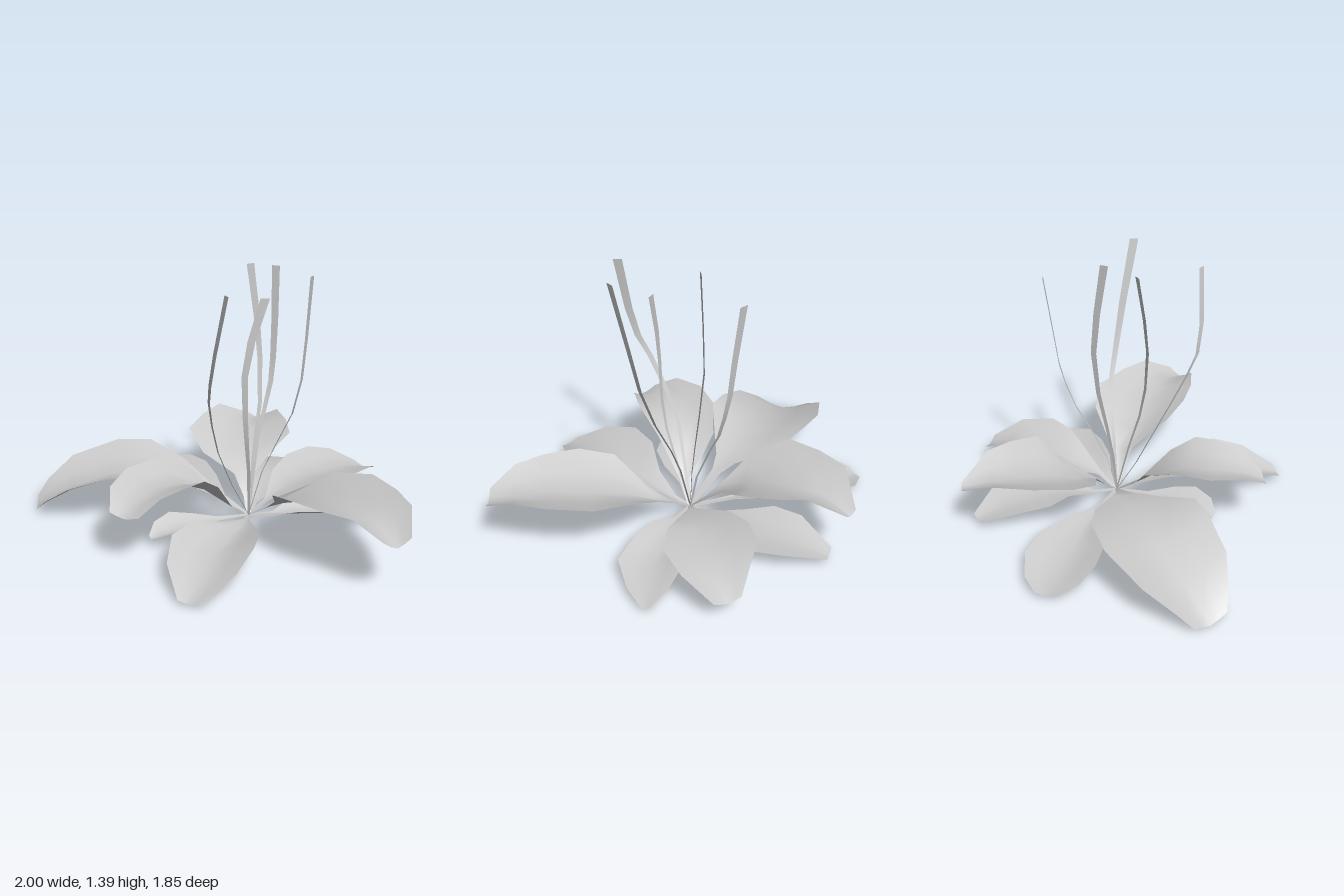
import * as THREE from 'three';

const material = new THREE.MeshStandardMaterial({ color: 0xcccccc, side: THREE.DoubleSide });

// Skin a sheet through rows of points, each row having the same number of columns
function sheet(name, rows) {
  const cols = rows[0].length;
  const index = [];
  for (let r = 0; r < rows.length - 1; r++) {
    for (let c = 0; c < cols - 1; c++) {
      const a = r * cols + c, b = a + cols;
      index.push(a, b, a + 1, b, b + 1, a + 1);
    }
  }
  const geometry = new THREE.BufferGeometry().setFromPoints(rows.flat());
  geometry.setIndex(index);
  geometry.computeVertexNormals();
  const mesh = new THREE.Mesh(geometry, material);
  mesh.name = name;
  return mesh;
}

// Channelled leaf: stations along the midrib are [x, y, z, halfWidth, edgeRise]
function leaf(name, stations) {
  const all = [[0.2, 0.03, -0.02, 0.012, 0], ...stations];
  const rows = all.map(([x, y, z, w, rise], i) => {
    const p = all[Math.max(i - 1, 0)], n = all[Math.min(i + 1, all.length - 1)];
    const side = new THREE.Vector3(n[2] - p[2], 0, p[0] - n[0]).normalize();
    return [-1, -0.5, 0, 0.5, 1].map((t) =>
      new THREE.Vector3(x, y + rise * Math.abs(t) ** 1.4, z).addScaledVector(side, t * w));
  });
  return sheet(name, rows);
}

// Flat stalk: path points are [x, y, z], the ribbon widens upward along a fixed direction
function stalk(name, [dx, dz], path) {
  const side = new THREE.Vector3(dx, 0, dz).normalize();
  const all = [[0.2, 0.03, -0.02], ...path];
  const rows = all.map((p, i) => {
    const w = 0.007 + 0.016 * (i / (all.length - 1)) ** 1.3;
    return [-w, w].map((s) => new THREE.Vector3(...p).addScaledVector(side, s));
  });
  return sheet(name, rows);
}

const LEAVES = {
  leftLeaf: [
    [0, 0.15, -0.08, 0.03, 0], [-0.08, 0.18, -0.1, 0.07, 0.01], [-0.21, 0.21, -0.14, 0.185, 0.02],
    [-0.4, 0.22, -0.145, 0.285, 0.08], [-0.57, 0.195, -0.155, 0.295, 0.09], [-0.8, 0.12, -0.125, 0.25, 0.09],
    [-0.93, 0.05, -0.1, 0.16, 0.06], [-0.99, 0.005, -0.09, 0.1, 0.03]],
  backLeftLeaf: [
    [0.05, 0.045, -0.2, 0.02, 0], [-0.08, 0.045, -0.35, 0.11, 0.04], [-0.2, 0.045, -0.46, 0.18, 0.06],
    [-0.32, 0.035, -0.58, 0.19, 0.06], [-0.42, 0.03, -0.67, 0.14, 0.03], [-0.48, 0.03, -0.72, 0.06, 0.01]],
  backLeaf: [
    [0.19, 0.1, -0.1, 0.02, 0], [0.17, 0.18, -0.2, 0.06, 0.02], [0.13, 0.23, -0.3, 0.2, 0.06],
    [0.13, 0.28, -0.42, 0.29, 0.09], [0.15, 0.31, -0.6, 0.25, 0.08], [0.17, 0.32, -0.76, 0.18, 0.08],
    [0.22, 0.28, -0.91, 0.04, 0.02]],
  lowBackLeaf: [
    [0.22, 0.04, -0.15, 0.02, 0], [0.27, 0.07, -0.3, 0.1, 0.02], [0.3, 0.08, -0.46, 0.2, 0.03],
    [0.28, 0.08, -0.64, 0.17, 0.03], [0.26, 0.035, -0.83, 0.05, 0.01]],
  backRightLeaf: [
    [0.3, 0.1, -0.08, 0.02, 0], [0.42, 0.15, -0.2, 0.14, 0.03], [0.52, 0.17, -0.28, 0.2, 0.05],
    [0.66, 0.18, -0.36, 0.23, 0.05], [0.78, 0.16, -0.45, 0.17, 0.05], [0.87, 0.11, -0.55, 0.07, 0.02]],
  rightLeaf: [
    [0.33, 0.04, -0.02, 0.03, 0], [0.45, 0.04, -0.04, 0.1, 0.05], [0.6, 0.045, -0.06, 0.14, 0.06],
    [0.76, 0.04, -0.08, 0.16, 0.045], [0.89, 0.035, -0.14, 0.1, 0.02], [0.99, 0.03, -0.185, 0.02, 0]],
  frontRightLeaf: [
    [0.3, 0.11, 0.05, 0.025, 0], [0.384, 0.16, 0.1, 0.07, 0.03], [0.486, 0.225, 0.21, 0.225, 0.1],
    [0.625, 0.28, 0.35, 0.275, 0.09], [0.74, 0.31, 0.515, 0.235, 0.07], [0.835, 0.3, 0.645, 0.17, 0.08],
    [0.895, 0.26, 0.765, 0.075, 0.04]],
  frontLeaf: [
    [0.19, 0.05, 0.08, 0.015, 0], [0.16, 0.085, 0.25, 0.08, 0.02], [0.1, 0.09, 0.42, 0.18, 0.08],
    [0.04, 0.09, 0.58, 0.21, 0.08], [0, 0.06, 0.76, 0.17, 0.06], [-0.04, 0.02, 0.91, 0.06, 0.01]],
  frontLeftLeaf: [
    [0.1, 0.12, 0.06, 0.03, 0], [-0.033, 0.235, 0.12, 0.15, 0.07], [-0.15, 0.31, 0.225, 0.2, 0.08],
    [-0.265, 0.33, 0.345, 0.2, 0.06], [-0.345, 0.32, 0.48, 0.15, 0.05], [-0.385, 0.275, 0.58, 0.08, 0.02]],
  smallLowLeaf: [
    [0.05, 0.045, 0.09, 0.03, 0.01], [-0.05, 0.055, 0.17, 0.09, 0.03], [-0.15, 0.06, 0.24, 0.12, 0.05],
    [-0.24, 0.05, 0.3, 0.09, 0.04], [-0.29, 0.04, 0.33, 0.03, 0.01]],
};

// Each stalk: [width direction in x and z, path]
const STALKS = [
  [[0.45, 0.9], [[0.11, 0.24, 0.06], [0.04, 0.45, 0.13], [0.015, 0.63, 0.225], [0.005, 0.78, 0.31],
    [0.015, 0.89, 0.375], [0.04, 1.05, 0.41], [0.095, 1.34, 0.43]]],
  [[0.4, -0.9], [[0.27, 0.3, 0], [0.34, 0.46, 0.015], [0.42, 0.65, 0.06], [0.46, 0.85, 0.115],
    [0.475, 1.07, 0.16], [0.49, 1.4, 0.235]]],
  [[0.9, 0.4], [[0.22, 0.25, -0.07], [0.245, 0.45, -0.155], [0.275, 0.58, -0.22], [0.305, 0.72, -0.265],
    [0.315, 0.85, -0.295], [0.32, 1.05, -0.32], [0.32, 1.34, -0.36]]],
  [[1, 0], [[0.2, 0.3, 0.06], [0.19, 0.48, 0.12], [0.18, 0.65, 0.15], [0.175, 0.87, 0.16],
    [0.205, 1.05, 0.155], [0.27, 1.27, 0.145]]],
  [[0.8, -0.6], [[0.21, 0.25, -0.035], [0.225, 0.42, -0.06], [0.25, 0.65, -0.1], [0.245, 0.9, -0.125],
    [0.225, 1.13, -0.11], [0.19, 1.4, -0.08]]],
];

export function createModel() {
  const model = new THREE.Group();
  model.name = 'plant';

  // Rosette of broad leaves
  const leaves = new THREE.Group();
  leaves.name = 'leaves';
  for (const [name, stations] of Object.entries(LEAVES)) leaves.add(leaf(name, stations));

  // Upright stalks from the middle of the rosette
  const stalks = new THREE.Group();
  stalks.name = 'stalks';
  STALKS.forEach(([side, path], i) => stalks.add(stalk(`stalk${i + 1}`, side, path)));

  model.add(leaves, stalks);
  return model;
}
